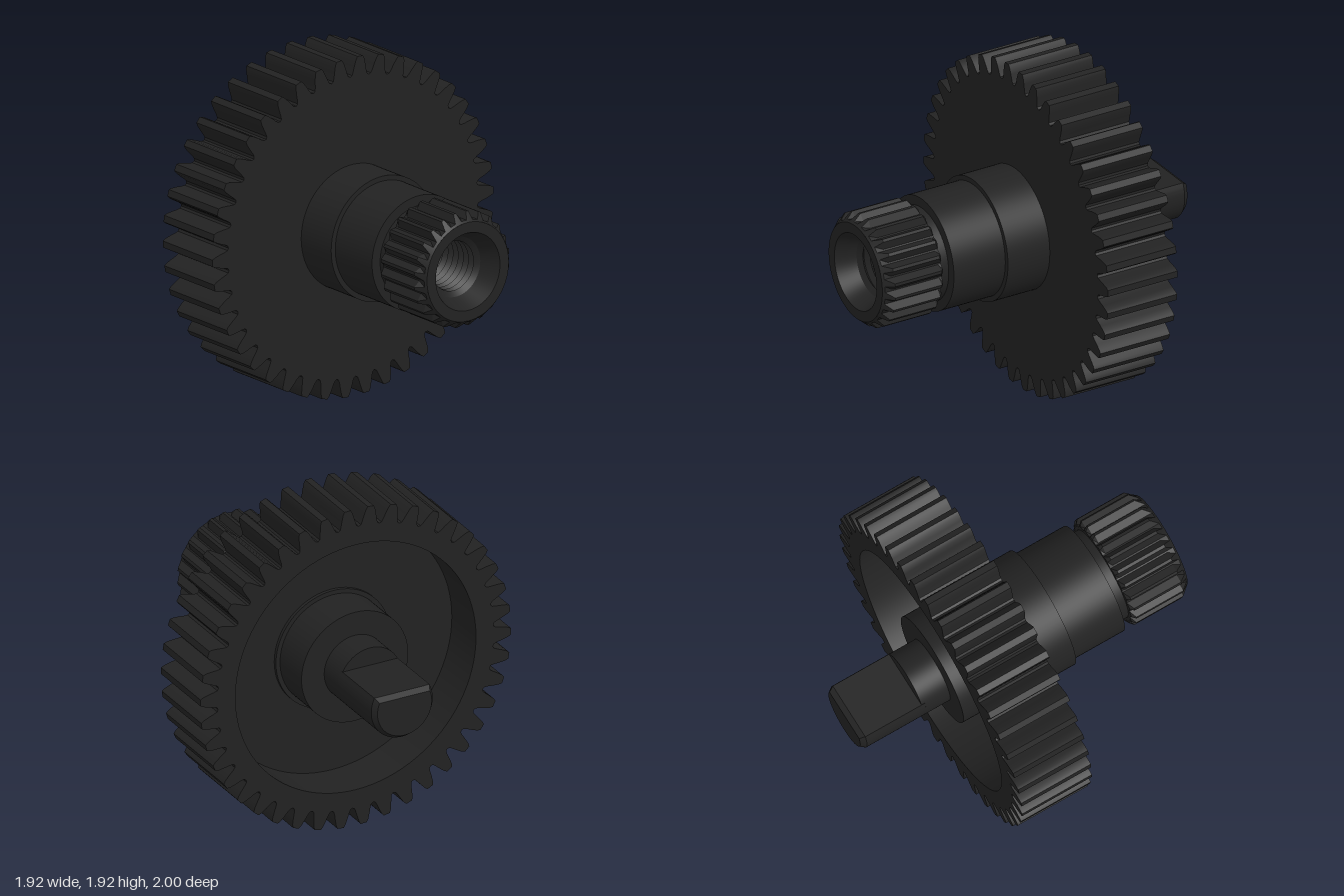
import * as THREE from 'three';
import { toCreasedNormals } from 'three/addons/utils/BufferGeometryUtils.js';

const AXIS_Y = 0.963;
const TAU = Math.PI * 2;

export function createModel() {
  const model = new THREE.Group();
  model.name = 'gearShaft';
  const axle = new THREE.Group();
  axle.name = 'axle';
  axle.position.y = AXIS_Y;
  model.add(axle);
  const material = new THREE.MeshStandardMaterial({ color: 0x222222 });

  const add = (name, geometry, crease = 0.5) => {
    const mesh = new THREE.Mesh(toCreasedNormals(geometry, crease), material);
    mesh.name = name;
    axle.add(mesh);
  };
  // Profile of [radius, z] pairs turned about the z axis
  const turned = (points, segments = 72) =>
    new THREE.LatheGeometry(points.map(p => new THREE.Vector2(...p)), segments).rotateX(Math.PI / 2);

  // Toothed rim, hollow in the middle
  const teeth = 42;
  const flank = [[-0.5, 0.853], [-0.4, 0.86], [-0.34, 0.88], [-0.28, 0.91], [-0.2, 0.945], [-0.13, 0.962]];
  const tooth = [...flank, ...flank.slice(1).reverse().map(([a, r]) => [-a, r])];
  const outline = [];
  for (let i = 0; i < teeth; i++) {
    for (const [a, r] of tooth) {
      const t = THREE.MathUtils.degToRad(87) + ((i + a) / teeth) * TAU;
      outline.push(new THREE.Vector2(Math.cos(t) * r, Math.sin(t) * r));
    }
  }
  const rim = new THREE.Shape(outline);
  rim.holes.push(new THREE.Path().absarc(0, 0, 0.745, 0, TAU, true));
  add('gearRim', new THREE.ExtrudeGeometry(rim, { depth: 0.44, bevelEnabled: false, curveSegments: 48 })
    .translate(0, 0, -0.455));

  // Web closing the front of the rim, leaving a recess behind
  add('gearWeb', turned([[0.34, -0.185], [0.745, -0.185], [0.745, -0.015], [0.34, -0.015]], 96));

  // Stepped hub from the rear boss to the neck below the splines
  add('hub', turned([
    [0, -0.445], [0.33, -0.445], [0.33, -0.205], [0.355, -0.205], [0.355, 0.25],
    [0.327, 0.25], [0.327, 0.575], [0.272, 0.575], [0.272, 0.635],
  ]));

  // Splined head: loops of toothed sections, capped by the chamfer radius
  const splines = 24;
  const section = [0.29, 0.29, 0.327, 0.327];
  const phase = [0, 0.12, 0.46, 0.66];
  const stations = [[0.63, 0.27], [0.63, 0.305], [0.65, 0.327], [0.945, 0.327], [0.988, 0.29], [1, 0.28]];
  const count = splines * section.length;
  const positions = [], indices = [];
  stations.forEach(([z, cap], s) => {
    for (let i = 0; i < count; i++) {
      const k = i % 4;
      const t = ((Math.floor(i / 4) + phase[k]) / splines) * TAU;
      const r = Math.min(cap, section[k]);
      positions.push(Math.cos(t) * r, Math.sin(t) * r, z);
      if (s === 0) continue;
      const next = (i + 1) % count, a = (s - 1) * count, b = s * count;
      indices.push(a + i, a + next, b + next, a + i, b + next, b + i);
    }
  });
  const head = new THREE.BufferGeometry();
  head.setAttribute('position', new THREE.Float32BufferAttribute(positions, 3));
  head.setIndex(indices);
  add('splinedHead', head, 0.15);

  // Countersunk, threaded bore in the head
  const bore = [[0.28, 1], [0.22, 1], [0.17, 0.89]];
  const pitch = 0.045;
  for (let i = 0; i < 11; i++) {
    const z = 0.89 - i * pitch;
    bore.push([0.14, z - pitch / 2], [0.168, z - pitch]);
  }
  bore.push([0.138, 0.37], [0, 0.37]);
  add('threadedBore', turned(bore, 64), 0.4);

  // Round rear shaft, then a D-shaped end with a bevelled tip
  add('rearShaft', turned([[0, -0.615], [0.19, -0.615], [0.19, -0.44]]));
  const bevel = 0.022;
  const radius = 0.19 - bevel, flat = 0.085 - bevel;
  const angle = Math.asin(flat / radius);
  const dShape = new THREE.Shape().absarc(0, 0, radius, Math.PI - angle, TAU + angle, false);
  add('flattenedShaftEnd', new THREE.ExtrudeGeometry(dShape, {
    depth: 0.375, bevelEnabled: true, bevelSize: bevel, bevelThickness: 0.03, bevelSegments: 1, curveSegments: 48,
  }).translate(0, 0, -0.97));

  return model;
}
